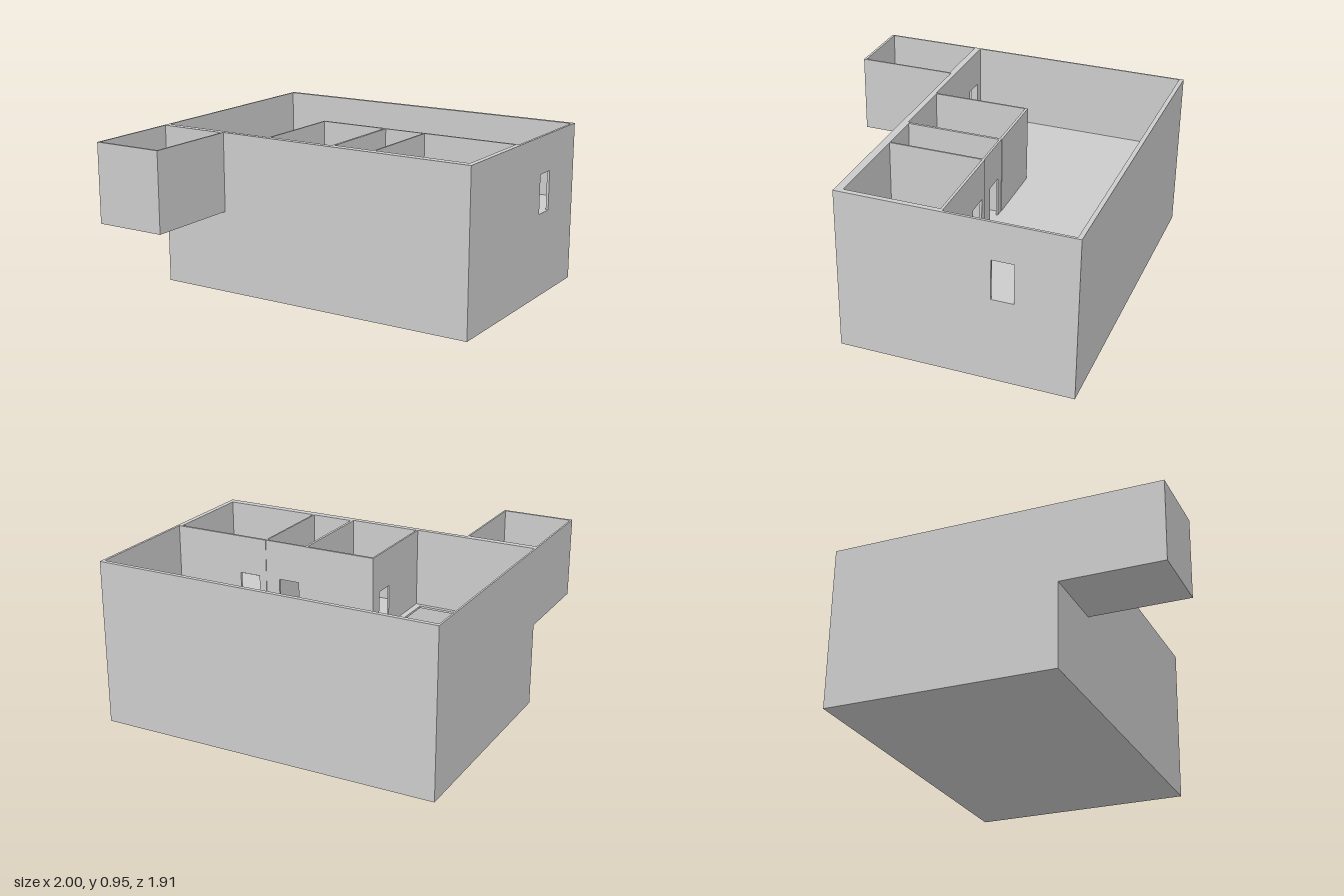
import * as THREE from 'three';

const TOP = 0.95, FLOOR = 0.497, UNDER = 0.485, HEAD = 0.73;

function rect(Type, a0, a1, b0, b1) {
  const s = new Type();
  s.moveTo(a0, b0);
  s.lineTo(a1, b0);
  s.lineTo(a1, b1);
  s.lineTo(a0, b1);
  s.closePath();
  return s;
}

export function createModel() {
  const model = new THREE.Group();
  model.name = 'building';
  const grey = new THREE.MeshStandardMaterial({ color: 0xcccccc });
  grey.name = 'plaster grey';

  // rectangular panel with an optional rectangular opening, extruded by its thickness
  function panel(name, a, b, depth, opening) {
    const shape = rect(THREE.Shape, a[0], a[1], b[0], b[1]);
    if (opening) shape.holes.push(rect(THREE.Path, ...opening));
    const geometry = new THREE.ExtrudeGeometry(shape, { depth, bevelEnabled: false });
    const mesh = new THREE.Mesh(geometry, grey);
    mesh.name = name;
    model.add(mesh);
    return geometry;
  }
  const doorway = (door) => door && [door[0], door[1], FLOOR, HEAD];

  // wall running along x, between depths z0 and z1
  function wallX(name, x0, x1, z0, z1, y0, door) {
    panel(name, [x0, x1], [y0, TOP], z1 - z0, doorway(door)).translate(0, 0, z0);
  }
  // wall running along z, between x0 and x1
  function wallZ(name, z0, z1, x0, x1, y0, door) {
    panel(name, [z0, z1], [y0, TOP], x1 - x0, doorway(door)).rotateY(-Math.PI / 2).translate(x1, 0, 0);
  }
  // horizontal slab
  function slab(name, x0, x1, z0, z1, y0, y1, opening) {
    panel(name, [x0, x1], [z0, z1], y1 - y0, opening).rotateX(Math.PI / 2).translate(0, y1, 0);
  }

  // outer shell
  wallX('backWall', -1, 1, -0.955, -0.93, 0);
  wallX('frontWall', -1, 1, 0.345, 0.375, 0, [-0.935, -0.81]);
  wallZ('rightWall', -0.93, 0.345, -1, -0.99, 0);
  wallZ('leftWall', -0.93, 0.345, 0.985, 1, 0, [-0.615, -0.49]);

  // ground floor and upper floor with stairwell
  slab('groundFloor', -0.99, 0.985, -0.93, 0.345, 0, 0.006);
  slab('upperFloor', -0.99, 0.985, -0.93, 0.345, UNDER, FLOOR, [-0.555, -0.315, 0.03, 0.32]);

  // three inner rooms along the front
  wallX('corridorWallA', -0.28, 0.14, -0.225, -0.21, UNDER);
  wallX('corridorWallB', 0.14, 0.4, -0.222, -0.21, UNDER, [0.19, 0.315]);
  wallX('corridorWallC', 0.4, 0.985, -0.225, -0.21, UNDER, [0.445, 0.57]);
  wallZ('partitionA', -0.21, 0.345, -0.28, -0.27, UNDER, [-0.145, -0.025]);
  wallZ('partitionB', -0.21, 0.345, 0.135, 0.15, UNDER);
  wallZ('partitionC', -0.21, 0.345, 0.395, 0.405, UNDER);
  wallZ('roomSideLining', -0.21, 0.345, 0.97, 0.985, UNDER);
  wallX('roomFrontLiningA', -0.27, 0.135, 0.34, 0.345, UNDER);
  wallX('roomFrontLiningB', 0.15, 0.395, 0.33, 0.345, UNDER);
  wallX('roomFrontLiningC', 0.405, 0.97, 0.33, 0.345, UNDER);

  // overhanging annex
  wallX('annexBackWall', -1, -0.575, 0.375, 0.385, UNDER, [-0.935, -0.81]);
  wallX('annexFrontWall', -1, -0.575, 0.94, 0.955, UNDER);
  wallZ('annexRightWall', 0.385, 0.94, -1, -0.99, UNDER);
  wallZ('annexLeftWall', 0.385, 0.94, -0.585, -0.575, UNDER);
  slab('annexFloor', -0.99, -0.585, 0.385, 0.94, UNDER, FLOOR);

  return model;
}
